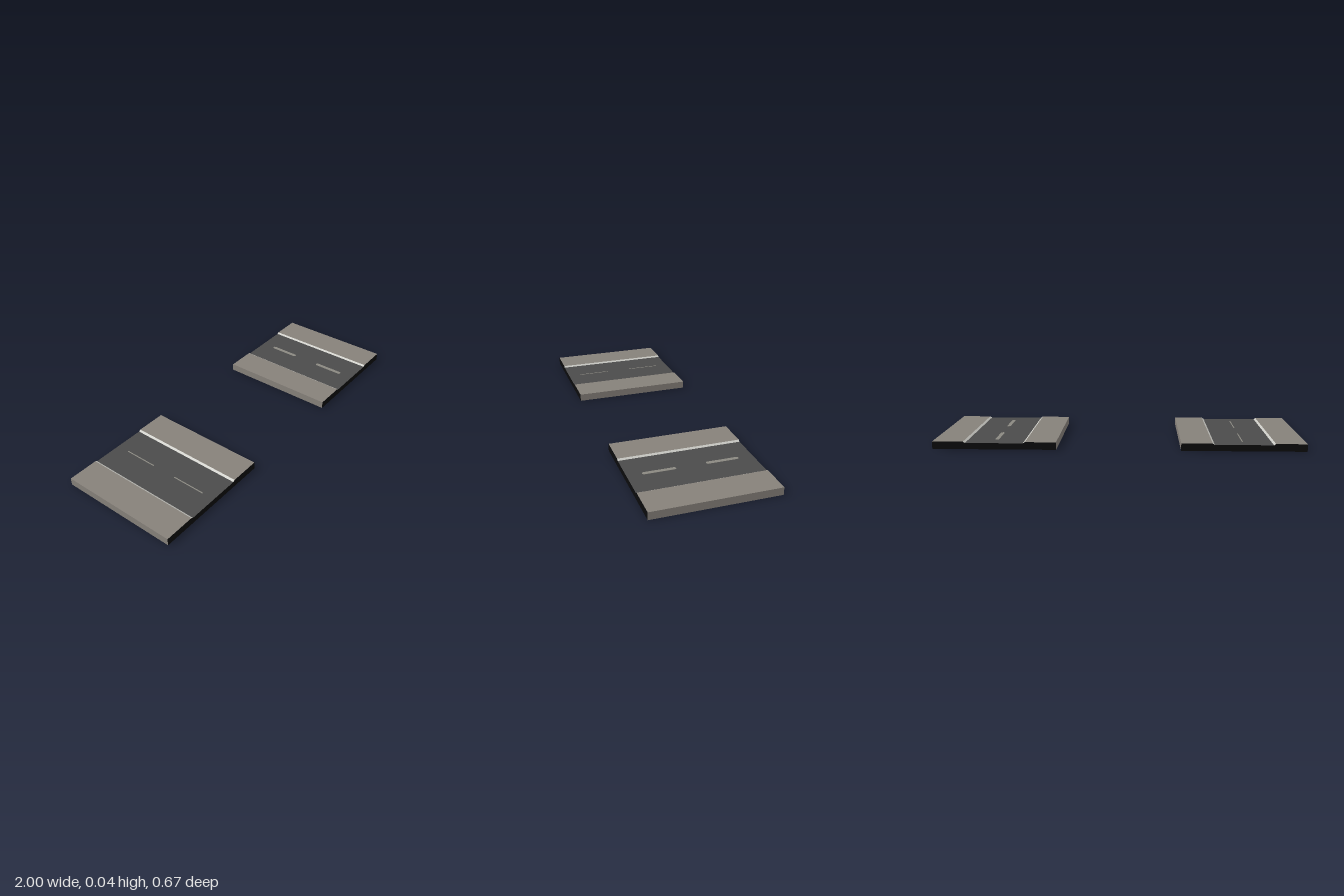
import * as THREE from 'three';

const HALF = 0.3333;      // half the tile size
const TOP = 0.041;        // pavement height
const ROAD = 0.034;       // road surface height
const ROAD_HALF = 0.1667; // half the road width, kerbs included
const KERB = 0.011;       // kerb width seen from above

function material(name, color) {
  const m = new THREE.MeshStandardMaterial({ color });
  m.name = name;
  return m;
}

export function createModel() {
  const paving = material('pavingGrey', 0x86817a);
  const asphalt = material('asphaltGrey', 0x4b4b4b);
  const kerbWhite = material('kerbWhite', 0xc9c9c3);
  const paint = material('linePaint', 0x8b8981);
  const cutEnd = material('cutEndBlack', 0x0a0a0b);

  // Cross-section run along z, with black cut ends
  function strip(name, points, mat) {
    const shape = new THREE.Shape(points.map(([x, y]) => new THREE.Vector2(x, y)));
    const geo = new THREE.ExtrudeGeometry(shape, { depth: 2 * HALF, bevelEnabled: false });
    geo.translate(0, 0, -HALF);
    const mesh = new THREE.Mesh(geo, [cutEnd, mat]);
    mesh.name = name;
    return mesh;
  }

  // Flat painted dash, with rounded ends when wide
  function dash(width, length, rounded) {
    const r = width / 2, h = length / 2;
    const shape = new THREE.Shape();
    if (rounded) {
      shape.absarc(0, h - r, r, 0, Math.PI);
      shape.absarc(0, r - h, r, Math.PI, 2 * Math.PI);
    } else {
      shape.moveTo(-r, -h).lineTo(r, -h).lineTo(r, h).lineTo(-r, h);
    }
    const geo = new THREE.ExtrudeGeometry(shape, { depth: 0.001, bevelEnabled: false, curveSegments: 8 });
    geo.rotateX(-Math.PI / 2);
    const mesh = new THREE.Mesh(geo, paint);
    mesh.name = 'centreDash';
    return mesh;
  }

  function roadTile(name, x, dashWidth, dashLength, rounded) {
    const tile = new THREE.Group();
    tile.name = name;
    tile.position.x = x;

    // Road bed
    tile.add(strip('road', [[-ROAD_HALF, 0], [ROAD_HALF, 0], [ROAD_HALF, ROAD], [-ROAD_HALF, ROAD]], asphalt));

    for (const s of [-1, 1]) {
      const side = s > 0 ? 'left' : 'right';
      // Raised pavement
      tile.add(strip(side + 'Pavement',
        [[s * ROAD_HALF, 0], [s * HALF, 0], [s * HALF, TOP], [s * ROAD_HALF, TOP]], paving));
      // Sloping kerb between road and pavement
      tile.add(strip(side + 'Kerb',
        [[s * (ROAD_HALF - KERB), ROAD], [s * ROAD_HALF, ROAD], [s * ROAD_HALF, TOP]], kerbWhite));
      // Centre line dash
      const line = dash(dashWidth, dashLength, rounded);
      line.position.set(0, ROAD, s * 0.1667);
      tile.add(line);
    }
    return tile;
  }

  const model = new THREE.Group();
  model.name = 'roadTiles';
  model.add(roadTile('thinLineTile', -0.6667, 0.006, 0.19, false));
  model.add(roadTile('wideLineTile', 0.6667, 0.021, 0.175, true));
  return model;
}
